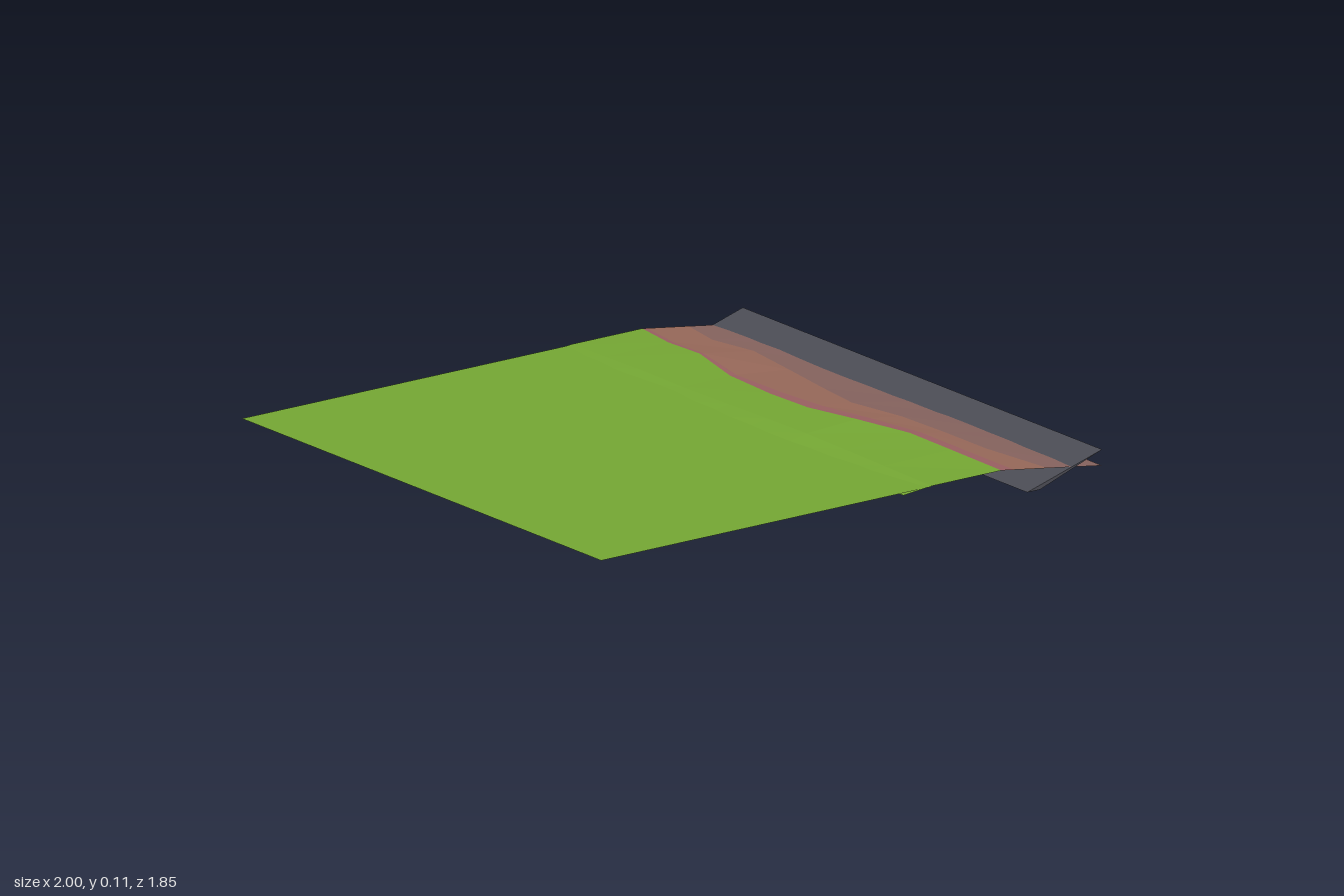
import * as THREE from 'three';

const mat = (name, color) => new THREE.MeshStandardMaterial({ name, color, side: THREE.DoubleSide, flatShading: true });

// Faceted sheet between two rails of [x, y, z] points
function strip(name, a, b, material) {
  const pos = [];
  for (let i = 0; i < a.length - 1; i++) {
    pos.push(...a[i], ...a[i + 1], ...b[i + 1], ...a[i], ...b[i + 1], ...b[i]);
  }
  const g = new THREE.BufferGeometry();
  g.setAttribute('position', new THREE.Float32BufferAttribute(pos, 3));
  g.computeVertexNormals();
  const m = new THREE.Mesh(g, material);
  m.name = name;
  return m;
}

export function createModel() {
  const group = new THREE.Group();
  group.name = 'roadsideBank';
  const grass = mat('grassGreen', 0x74a633);
  const clay = mat('mauveClay', 0x9a6062);
  const earth = mat('brownEarth', 0x98695a);
  const soil = mat('greyBrownSoil', 0x87645f);
  const asphalt = mat('darkAsphalt', 0x4b4c54);

  const D = 0.925; // half depth

  // Flat meadow
  const meadow = new THREE.Mesh(new THREE.PlaneGeometry(1.28, 2 * D).rotateX(-Math.PI / 2), grass);
  meadow.position.set(-0.36, 0.088, 0);
  meadow.name = 'meadow';
  group.add(meadow);

  // Cross-sections of the bank: z, turf edge x, ridge y, clay edge x, earth edge x, earth edge y, foot x
  const rows = [
    [-D, 0.55, 0.090, 0.57, 0.73, 0.064, 0.94],
    [-0.75, 0.52, 0.094, 0.54, 0.69, 0.071, 0.97],
    [-0.59, 0.52, 0.098, 0.535, 0.73, 0.067, 1.0],
    [-0.36, 0.465, 0.094, 0.49, 0.695, 0.070, 0.94],
    [-0.12, 0.44, 0.100, 0.485, 0.645, 0.080, 0.94],
    [0.08, 0.435, 0.106, 0.49, 0.605, 0.090, 0.94],
    [0.28, 0.475, 0.110, 0.53, 0.65, 0.086, 0.94],
    [0.48, 0.53, 0.105, 0.575, 0.665, 0.082, 0.94],
    [0.68, 0.54, 0.098, 0.585, 0.675, 0.077, 0.94],
    [D, 0.55, 0.090, 0.60, 0.73, 0.064, 0.94],
  ];
  const rails = [[], [], [], [], [], []];
  for (const [z, tx, ry, cx, ex, ey, fx] of rows) {
    const cy = ry + (ey - ry) * (cx - tx) / (ex - tx);
    [[0.17, 0.08], [0.28, 0.09 + (ry - 0.09) * 0.5], [tx, ry], [cx, cy], [ex, ey], [fx, fx > 0.98 ? 0.028 : 0.033]]
      .forEach(([x, y], i) => rails[i].push([x, y, z]));
  }
  const parts = [['turfLip', grass], ['turfSlope', grass], ['clayBand', clay], ['earthBand', earth], ['bankFoot', soil]];
  parts.forEach(([name, m], i) => group.add(strip(name, rails[i], rails[i + 1], m)));

  // Tilted road edge, a thin wedge running the full depth
  const wedge = new THREE.Shape([[0.65, 0], [0.70, 0], [0.94, 0.085]].map(p => new THREE.Vector2(...p)));
  const road = new THREE.Mesh(
    new THREE.ExtrudeGeometry(wedge, { depth: 2 * D, bevelEnabled: false }).translate(0, 0, -D), asphalt);
  road.name = 'roadEdge';
  group.add(road);

  return group;
}
